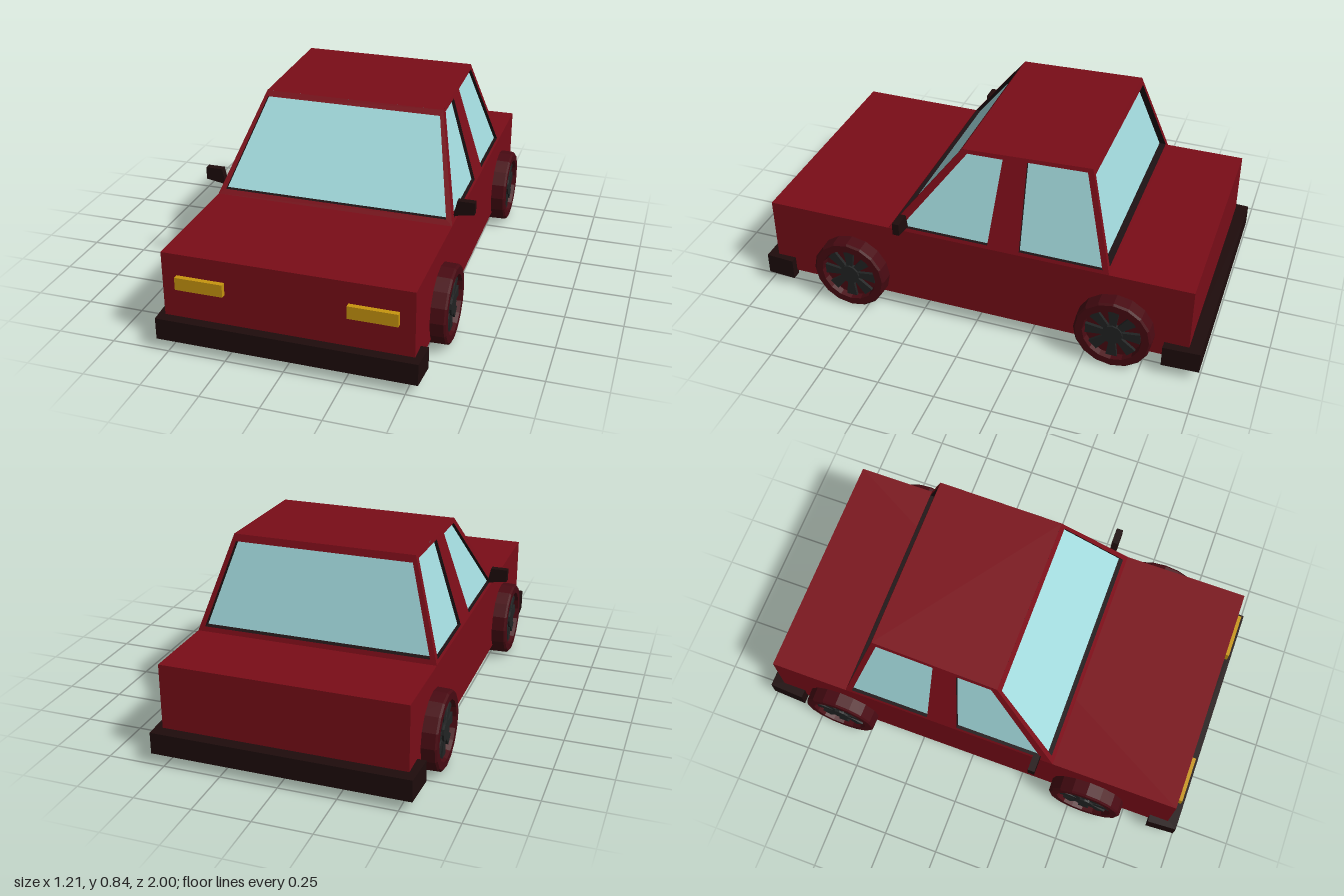
import * as THREE from 'three';

const mat = (color, side = THREE.FrontSide) =>
  new THREE.MeshStandardMaterial({ color, side, flatShading: true });
const RED = mat(0x7a0d18), CABIN = mat(0x7a0d18, THREE.DoubleSide);
const BLACK = mat(0x1e0c0c), REVEAL = mat(0x1e1214, THREE.DoubleSide);
const GLASS = mat(0xa3dbde, THREE.DoubleSide);
const AMBER = mat(0xc8960f), TYRE = mat(0x480a12), SPOKE = mat(0x222424);

const polygon = pts => new THREE.Shape(pts.map(p => new THREE.Vector2(...p)));

function add(parent, name, geometry, material, x = 0, y = 0, z = 0) {
  const m = new THREE.Mesh(geometry, material);
  m.name = name;
  m.position.set(x, y, z);
  parent.add(m);
  return m;
}

// Sloping cabin planes as functions of height
const SILL = 0.43;
const sideX = y => 0.525 - (y - SILL) * 0.317;
const frontZ = y => 0.39 - (y - SILL) * 0.769;
const rearZ = y => -0.59 + (y - SILL) * 0.293;

// Lays a flat shape on a sloping plane at a given inset
function laid(shape, place, inset) {
  const g = new THREE.ShapeGeometry(shape);
  const p = g.attributes.position;
  for (let i = 0; i < p.count; i++) p.setXYZ(i, ...place(p.getX(i), p.getY(i), inset));
  g.computeVertexNormals();
  return g;
}

// Cabin wall with window openings, dark reveals and recessed glass
function wall(parent, name, outline, windows, place, depth) {
  const group = new THREE.Group();
  group.name = name;
  const frame = polygon(outline);
  for (const w of windows) {
    frame.holes.push(new THREE.Path(w.map(p => new THREE.Vector2(...p))));
    const v = [];
    w.forEach((a, i) => {
      const b = w[(i + 1) % w.length];
      const [p, q, r, s] = [place(...a, 0), place(...b, 0), place(...b, depth), place(...a, depth)];
      v.push(...p, ...q, ...r, ...p, ...r, ...s);
    });
    const g = new THREE.BufferGeometry();
    g.setAttribute('position', new THREE.Float32BufferAttribute(v, 3));
    g.computeVertexNormals();
    add(group, 'windowReveal', g, REVEAL);
    add(group, 'windowGlass', laid(polygon(w), place, depth), GLASS);
  }
  add(group, 'windowFrame', laid(frame, place, 0), CABIN);
  parent.add(group);
}

function makeCabin() {
  const cabin = new THREE.Group();
  cabin.name = 'cabin';
  const sideOutline = [[0.39, SILL], [0.09, 0.82], [-0.47, 0.84], [-0.59, SILL]];
  const sideWindows = [
    [[0.335, 0.445], [0.065, 0.805], [-0.09, 0.808], [-0.06, 0.445]],
    [[-0.2, 0.445], [-0.195, 0.815], [-0.45, 0.822], [-0.56, 0.445]],
  ];
  for (const s of [1, -1])
    wall(cabin, s > 0 ? 'leftSide' : 'rightSide', sideOutline, sideWindows,
      (a, y, d) => [s * (sideX(y) - d), y, a], 0.015);

  const across = (top, bottom) => [[-bottom[0], bottom[1]], bottom, top, [-top[0], top[1]]];
  wall(cabin, 'windscreen', across([sideX(0.82), 0.82], [0.525, SILL]),
    [across([0.392, 0.798], [0.495, 0.45])], (a, y, d) => [a, y, frontZ(y) - d], 0.02);
  wall(cabin, 'rearScreen', across([sideX(0.84), 0.84], [0.525, SILL]),
    [across([0.385, 0.81], [0.495, 0.45])], (a, y, d) => [a, y, rearZ(y) + d], 0.03);

  // Roof rises slightly towards the back
  const roof = polygon([[-0.401, 0.09], [0.401, 0.09], [0.395, -0.47], [-0.395, -0.47]]);
  add(cabin, 'roof', laid(roof, (x, z) => [x, 0.82 + (0.09 - z) / 0.56 * 0.02, z], 0), CABIN);
  return cabin;
}

function makeWheel() {
  const wheel = new THREE.Group();
  wheel.name = 'wheel';
  // Tyre with a recessed disc, axis along x
  const profile = [[0, -0.053], [0.165, -0.053], [0.17, -0.045], [0.168, 0.045], [0.16, 0.053],
    [0.128, 0.053], [0.122, 0.025], [0, 0.025]].map(p => new THREE.Vector2(...p));
  add(wheel, 'tyre', new THREE.LatheGeometry(profile, 16).rotateZ(-Math.PI / 2), TYRE);
  add(wheel, 'hub', new THREE.CylinderGeometry(0.045, 0.045, 0.025, 12).rotateZ(-Math.PI / 2),
    SPOKE, 0.035);
  // Spokes widen towards the rim
  const blade = polygon([[-0.012, 0.03], [0.012, 0.03], [0.024, 0.118], [-0.024, 0.118]]);
  for (let i = 0; i < 8; i++) {
    const g = new THREE.ExtrudeGeometry(blade, { depth: 0.015, bevelEnabled: false });
    g.rotateY(Math.PI / 2).rotateX(i * Math.PI / 4);
    add(wheel, 'spoke', g, SPOKE, 0.024);
  }
  return wheel;
}

// Bar that wraps round the corners of the body
function bumper(car, name, s, end, hook, half, bottom) {
  const shape = polygon([[-half, s], [half, s], [half + 0.008, s * hook], [0.515, s * hook],
    [0.515, s * end], [-0.515, s * end], [-0.515, s * hook], [-half - 0.008, s * hook]]);
  const g = new THREE.ExtrudeGeometry(shape, { depth: 0.145 - bottom, bevelEnabled: false });
  add(car, name, g.rotateX(Math.PI / 2), BLACK, 0, 0.145, 0);
}

export function createModel() {
  const car = new THREE.Group();
  car.name = 'car';

  add(car, 'body', new THREE.BoxGeometry(1.05, 0.355, 1.9), RED, 0, 0.2525, 0.005);
  car.add(makeCabin());
  bumper(car, 'frontBumper', 1, 0.95, 0.87, 0.55, 0.05);
  bumper(car, 'rearBumper', -1, 0.94, 0.84, 0.555, 0.05);

  const mirrorShape = polygon([[0.515, 0.45], [0.605, 0.465], [0.605, 0.52], [0.53, 0.52]]);
  for (const s of [1, -1]) {
    const side = s > 0 ? 'left' : 'right';
    add(car, side + 'Headlight', new THREE.BoxGeometry(0.205, 0.055, 0.03), AMBER,
      s * 0.36, 0.308, 0.962);

    const shape = polygon(mirrorShape.getPoints().map(p => [s * p.x, p.y]));
    add(car, side + 'Mirror',
      new THREE.ExtrudeGeometry(shape, { depth: 0.03, bevelEnabled: false }), BLACK, 0, 0, 0.302);

    for (const [end, z] of [['Front', 0.57], ['Rear', -0.63]]) {
      const wheel = makeWheel();
      wheel.name = side + end + 'Wheel';
      wheel.position.set(s * 0.537, 0.17, z);
      if (s < 0) wheel.rotation.y = Math.PI;
      car.add(wheel);
    }
  }
  return car;
}
